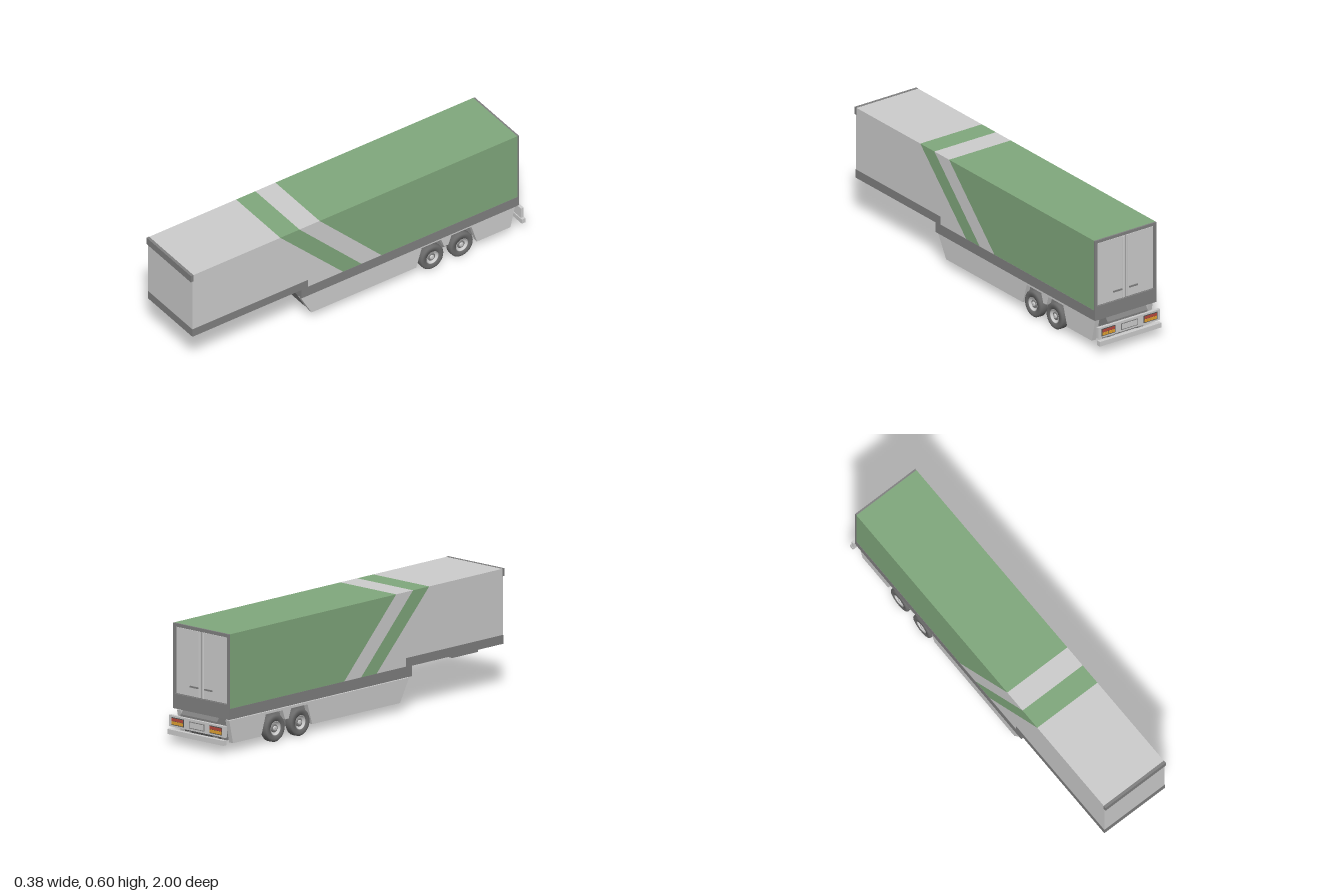
import * as THREE from 'three';

const mat = (color) => new THREE.MeshStandardMaterial({ color });
const light = mat(0xcccccc), dark = mat(0x808080), green = mat(0x80a77c);
const rubber = mat(0x6a6a6a), black = mat(0x505050);
const red = mat(0xb8483c), amber = mat(0xe0a030);

export function createModel() {
  const model = new THREE.Group();
  model.name = 'boxSemiTrailer';

  const add = (name, geometry, material, parent = model) => {
    const mesh = new THREE.Mesh(geometry, material);
    mesh.name = name;
    parent.add(mesh);
    return mesh;
  };
  // Box given by its limits on each axis
  const box = (name, [x0, x1], [y0, y1], [z0, z1], material, parent) => {
    const g = new THREE.BoxGeometry(x1 - x0, y1 - y0, z1 - z0);
    g.translate((x0 + x1) / 2, (y0 + y1) / 2, (z0 + z1) / 2);
    return add(name, g, material, parent);
  };
  // Side outline of [z, y] points, extruded across x
  const sideProfile = (name, points, x0, x1, material) => {
    const shape = new THREE.Shape(points.map(([z, y]) => new THREE.Vector2(z, y)));
    const g = new THREE.ExtrudeGeometry(shape, { depth: x1 - x0, bevelEnabled: false });
    g.rotateY(-Math.PI / 2);
    g.translate(x1, 0, 0);
    return add(name, g, material);
  };

  const W = 0.188, floor = 0.222, roof = 0.597, tail = -0.951;

  // Cargo body, sliced by slanted colour bands: [z at floor, z at roof]
  const cuts = [[0.99, 0.99], [0.09, 0.465], [-0.02, 0.35], [-0.14, 0.23], [tail, tail]];
  const bands = [['frontBody', light], ['narrowStripe', green], ['paleStripe', light], ['rearBody', green]];
  bands.forEach(([name, material], i) => {
    const [a, b] = [cuts[i], cuts[i + 1]];
    sideProfile(name, [[a[0], floor], [a[1], roof], [b[1], roof], [b[0], floor]], -W, W, material);
  });

  // Front cap, stepped lower frame and coupling plate
  box('frontRoofCap', [-W - 0.001, W + 0.001], [0.559, roof + 0.001], [0.985, 1], dark);
  box('frontFrame', [-W - 0.001, W + 0.001], [0.22, 0.265], [0.3, 0.991], dark);
  box('rearFrame', [-W - 0.001, W + 0.001], [0.168, 0.2225], [tail, 0.34], dark);
  box('couplingPlate', [-0.122, 0.122], [0.187, 0.222], [0.7, 0.88], dark);

  // Door surround with an opening
  const surround = new THREE.Shape([[-W, 0.168], [W, 0.168], [W, roof], [-W, roof]]
    .map(([x, y]) => new THREE.Vector2(x, y)));
  surround.holes.push(new THREE.Path([[-0.174, 0.242], [-0.174, 0.582], [0.174, 0.582], [0.174, 0.242]]
    .map(([x, y]) => new THREE.Vector2(x, y))));
  const surroundGeo = new THREE.ExtrudeGeometry(surround, { depth: 0.009, bevelEnabled: false });
  surroundGeo.translate(0, 0, -0.96);
  add('doorSurround', surroundGeo, dark);
  box('doorSeal', [-0.174, 0.174], [0.242, 0.582], [-0.953, -0.95], dark);

  // Doors with locking rods and handles
  for (const s of [1, -1]) {
    const door = new THREE.Group();
    door.name = s > 0 ? 'leftDoor' : 'rightDoor';
    model.add(door);
    const span = (a, b) => (s > 0 ? [a, b] : [-b, -a]);
    box('doorPanel', span(0.002, 0.17), [0.246, 0.578], [-0.956, -0.952], light, door);
    const rod = add('lockingRod', new THREE.CylinderGeometry(0.004, 0.004, 0.33, 10), light, door);
    rod.position.set(s * 0.014, 0.412, -0.958);
    box('doorHandle', span(0.022, 0.075), [0.29, 0.298], [-0.961, -0.955], dark, door);
  }

  // Chassis trough with sloping nose
  sideProfile('chassis', [[0.34, 0.18], [0.27, 0.046], [-0.93, 0.046], [-0.975, 0.1], [-0.975, 0.15], [-0.95, 0.18]],
    -0.122, 0.122, dark);

  // Side skirts with twin wheel cut-outs
  const skirt = [[0.335, 0.16], [0.27, 0.043], [-0.355, 0.043], [-0.388, 0.148], [-0.505, 0.148],
    [-0.522, 0.1], [-0.548, 0.1], [-0.565, 0.148], [-0.685, 0.148], [-0.718, 0.043], [-0.918, 0.043], [-0.945, 0.16]];
  sideProfile('leftSkirt', skirt, 0.15, 0.176, light);
  sideProfile('rightSkirt', skirt, -0.176, -0.15, light);

  // Wheels: lathe profiles as [radius, offset along the axle], outside positive
  const lathe = (pts) => {
    const g = new THREE.LatheGeometry(pts.map(([r, y]) => new THREE.Vector2(r, y)), 32);
    g.rotateZ(-Math.PI / 2);
    return g;
  };
  const tyre = lathe([[0.037, -0.02], [0.056, -0.022], [0.064, -0.02], [0.068, -0.015], [0.0685, 0],
    [0.068, 0.015], [0.064, 0.02], [0.056, 0.022], [0.037, 0.02], [0.036, 0.008]]);
  const rim = lathe([[0.001, -0.018], [0.037, -0.018], [0.037, 0.019], [0.033, 0.02], [0.03, 0.01],
    [0.02, 0.006], [0.001, 0.006]]);
  const hubRing = lathe([[0.021, 0.005], [0.021, 0.012], [0.015, 0.013], [0.001, 0.013]]);
  const hubCap = lathe([[0.012, 0.012], [0.012, 0.018], [0.009, 0.02], [0.001, 0.02]]);
  for (const z of [-0.447, -0.623]) {
    const axle = add('axle', new THREE.CylinderGeometry(0.012, 0.012, 0.3, 12), dark);
    axle.rotation.z = Math.PI / 2;
    axle.position.set(0, 0.0685, z);
    for (const s of [1, -1]) {
      const wheel = new THREE.Group();
      wheel.name = s > 0 ? 'leftWheel' : 'rightWheel';
      add('tyre', tyre, rubber, wheel);
      add('rim', rim, light, wheel);
      add('hubRing', hubRing, dark, wheel);
      add('hubCap', hubCap, light, wheel);
      wheel.position.set(s * 0.164, 0.0685, z);
      if (s < 0) wheel.rotation.y = Math.PI;
      model.add(wheel);
    }
  }

  // Rear light bar, plate holder and underrun bumper
  box('lightBar', [-W, W], [0.083, 0.14], [-0.989, -0.973], light);
  box('plateFrame', [-0.05, 0.05], [0.093, 0.128], [-0.991, -0.988], dark);
  box('plate', [-0.046, 0.046], [0.097, 0.124], [-0.992, -0.99], light);
  box('underrunBumper', [-W, W], [0.045, 0.07], [-1, -0.978], light);
  for (const s of [1, -1]) {
    box('bumperBracket', [s * 0.09 - 0.012, s * 0.09 + 0.012], [0.05, 0.066], [-0.98, -0.93], dark);
    const cluster = new THREE.Group();
    cluster.name = s > 0 ? 'leftTailLight' : 'rightTailLight';
    box('lampHousing', [-0.041, 0.041], [0.092, 0.131], [-0.991, -0.988], black, cluster);
    box('redLamp', [-0.038, 0.038], [0.113, 0.127], [-0.993, -0.99], red, cluster);
    for (let i = 0; i < 4; i++) {
      const x = -0.038 + i * 0.0195;
      box('amberLamp', [x, x + 0.0175], [0.096, 0.111], [-0.993, -0.99], amber, cluster);
    }
    cluster.position.x = s * 0.128;
    model.add(cluster);
  }

  return model;
}
